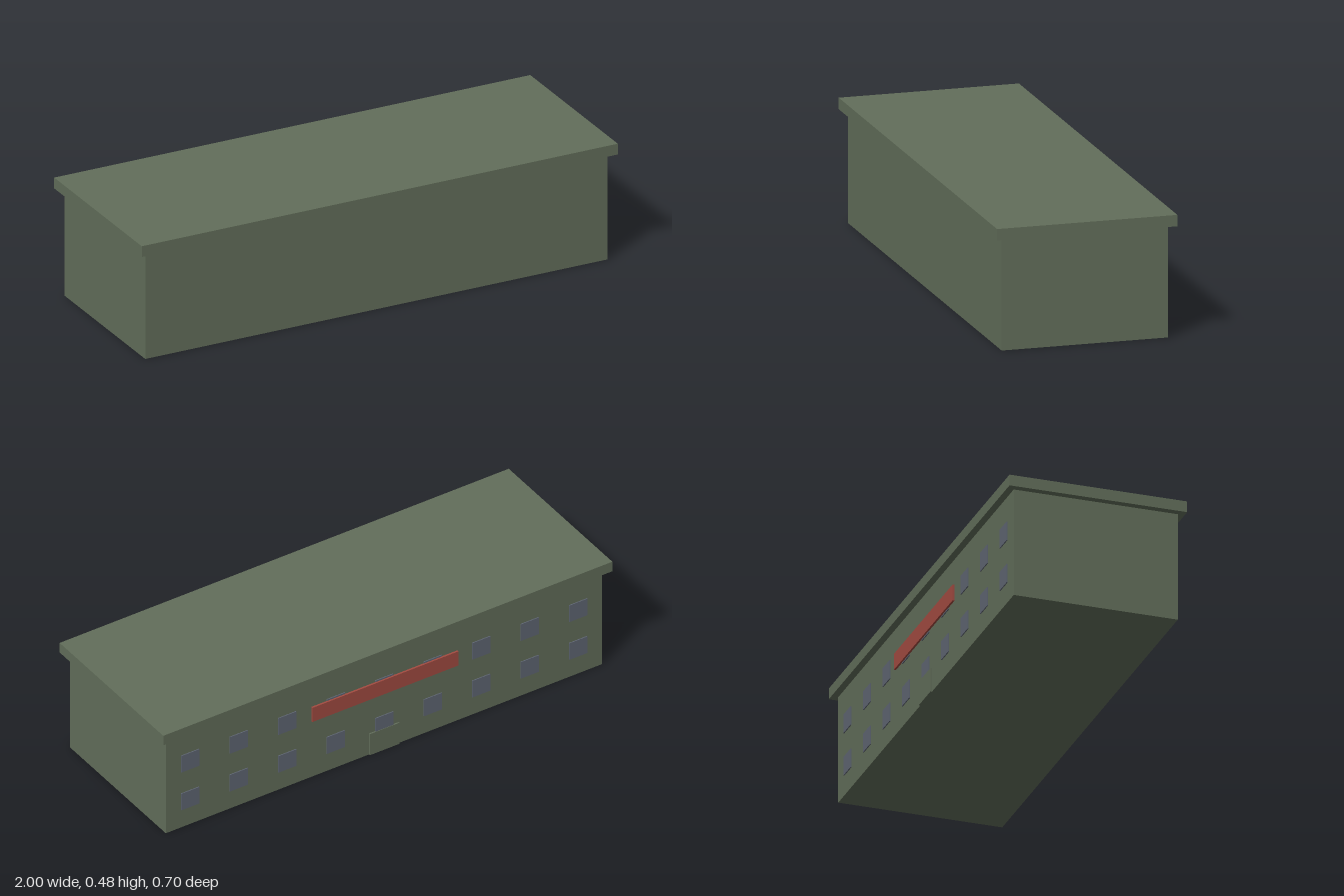
import * as THREE from 'three';

export function createModel() {
  const model = new THREE.Group();
  const material = (name, color) => {
    const m = new THREE.MeshStandardMaterial({ color });
    m.name = name;
    return m;
  };
  const green = material('olive green', 0x626e5a);
  const glass = material('slate glass', 0x5f6673);
  const red = material('sign red', 0xa34b41);

  // Box given by its x centre and its y and z ranges
  const box = (name, mat, x, width, y0, y1, z0, z1) => {
    const mesh = new THREE.Mesh(new THREE.BoxGeometry(width, y1 - y0, z1 - z0), mat);
    mesh.name = name;
    mesh.position.set(x, (y0 + y1) / 2, (z0 + z1) / 2);
    model.add(mesh);
  };

  const back = -0.324;
  box('walls', green, 0, 1.942, 0, 0.433, back, 0.324);
  box('roofSlab', green, 0, 2, 0.433, 0.477, -0.351, 0.351);

  // Two rows of nine windows on the back wall
  for (const y of [0.081, 0.255]) {
    for (let i = -4; i <= 4; i++) {
      box('window', glass, i * 0.216, 0.08, y, y + 0.076, back - 0.004, back + 0.002);
    }
  }

  // Door and sign board, standing proud of the windows
  box('door', green, 0, 0.13, 0, 0.097, back - 0.006, back + 0.002);
  box('signBoard', red, 0, 0.65, 0.26, 0.325, back - 0.011, back - 0.003);

  return model;
}
